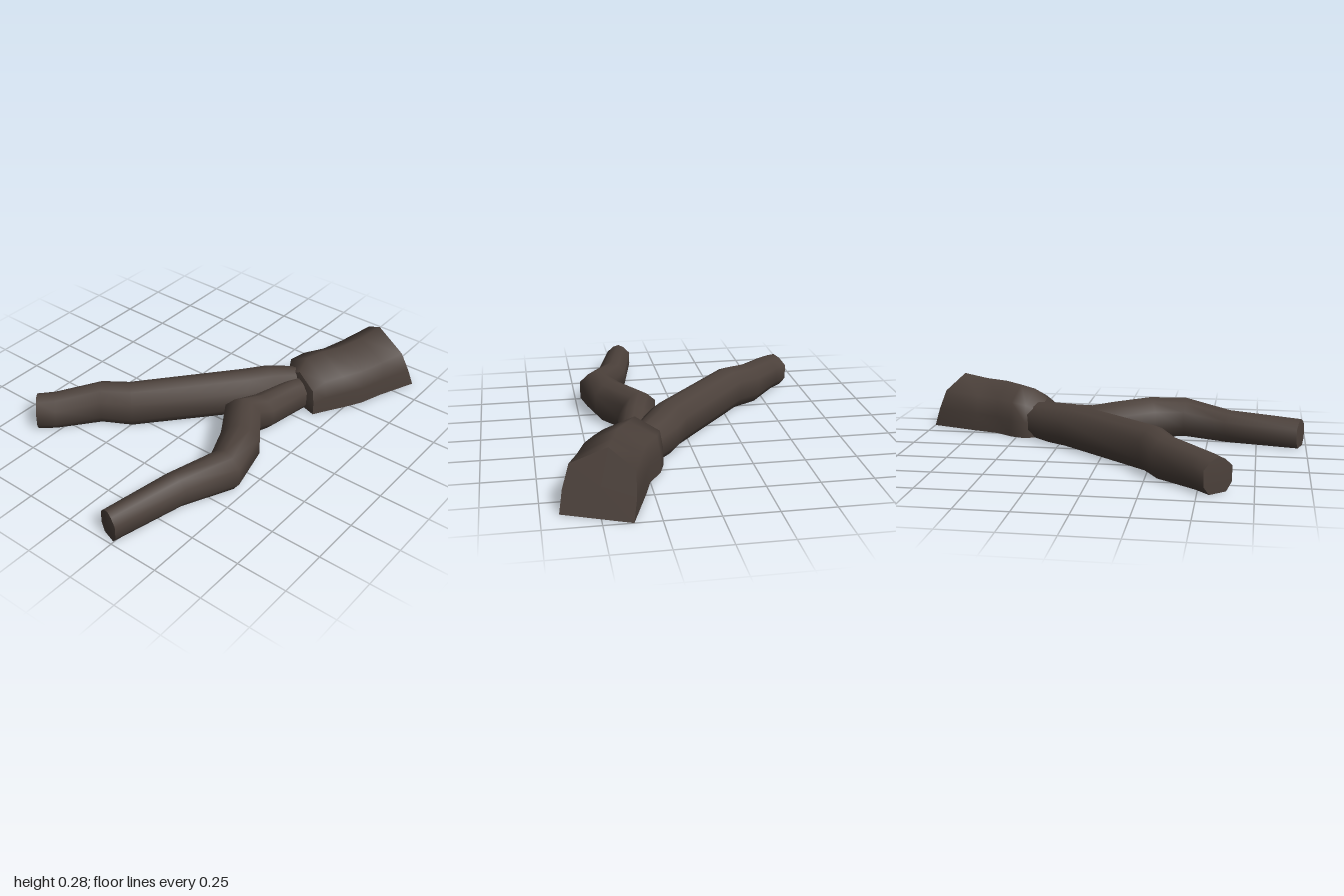
import * as THREE from 'three';
import { mergeGeometries, toCreasedNormals } from 'three/addons/utils/BufferGeometryUtils.js';

// Cross-sections as [across, up] fractions, from the bottom of one side over the top to the other
const ROUND = [[0.2, 0], [0, 0.25], [0, 0.7], [0.25, 0.91], [0.5, 1], [0.75, 0.91], [1, 0.7], [1, 0.25], [0.8, 0]];
const STUMP = [[0, 0], [0, 0.35], [0.05, 0.72], [0.45, 1], [0.95, 0.72], [1, 0.35], [1, 0]];

// Lofts sections [x0, z0, x1, z1, height, leanX, leanZ], listed from back to front
function loft(sections, profile, bulge) {
  const n = profile.length;
  const rings = sections.map(([x0, z0, x1, z1, h, lx = 0, lz = 0]) =>
    profile.map(([t, u]) => new THREE.Vector3(x0 + (x1 - x0) * t + lx * u, h * u, z0 + (z1 - z0) * t + lz * u)));

  // Bark skin
  const skin = new THREE.BufferGeometry().setFromPoints(rings.flat());
  const index = [];
  for (let i = 0; i < rings.length - 1; i++) {
    for (let j = 0; j < n; j++) {
      const a = i * n + j, b = i * n + (j + 1) % n;
      index.push(a, a + n, b, b, a + n, b + n);
    }
  }
  skin.setIndex(index);

  // End faces, the front one slightly domed
  const cap = (ring, front) => {
    const centre = ring.reduce((s, p) => s.add(p), new THREE.Vector3()).divideScalar(n);
    if (front) centre.z += bulge;
    const points = [];
    ring.forEach((p, j) => {
      const q = ring[(j + 1) % n];
      points.push(centre, ...(front ? [q, p] : [p, q]));
    });
    return new THREE.BufferGeometry().setFromPoints(points);
  };
  const parts = [skin, cap(rings[0], false), cap(rings[rings.length - 1], true)];
  return mergeGeometries(parts.map((g) => toCreasedNormals(g.index ? g.toNonIndexed() : g, 1.4)));
}

export function createModel() {
  const group = new THREE.Group();
  const bark = new THREE.MeshStandardMaterial({ color: 0x4c413b });
  bark.name = 'darkBark';

  const add = (name, sections, profile, bulge) => {
    const mesh = new THREE.Mesh(loft(sections, profile, bulge), bark);
    mesh.name = name;
    group.add(mesh);
  };

  // Thick root base with a slanted back cut
  add('rootBase', [
    [0.37, -1.0, 0.67, -0.87, 0.28, -0.05, 0.095],
    [0.285, -0.74, 0.59, -0.68, 0.262],
    [0.25, -0.62, 0.55, -0.56, 0.258],
    [0.19, -0.53, 0.5, -0.47, 0.252],
    [0.165, -0.45, 0.445, -0.38, 0.24],
    [0.2, -0.385, 0.41, -0.32, 0.19],
  ], STUMP, 0.03);

  // Long straight root
  add('longRoot', [
    [0.22, -0.5, 0.36, -0.42, 0.17],
    [0.17, -0.43, 0.31, -0.33, 0.18],
    [0.08, -0.34, 0.24, -0.22, 0.2],
    [0.02, -0.24, 0.17, -0.1, 0.21],
    [-0.35, 0.21, -0.22, 0.34, 0.21],
    [-0.465, 0.28, -0.36, 0.415, 0.2],
    [-0.61, 0.47, -0.5, 0.59, 0.172],
    [-0.675, 0.53, -0.57, 0.65, 0.165],
  ], ROUND, 0.01);

  // Crooked thinner root
  add('crookedRoot', [
    [0.25, -0.42, 0.38, -0.4, 0.15],
    [0.22, -0.3, 0.36, -0.29, 0.165],
    [0.17, -0.12, 0.33, -0.09, 0.17],
    [0.13, 0.04, 0.3, -0.02, 0.2],
    [0.25, 0.23, 0.42, 0.15, 0.205],
    [0.305, 0.37, 0.48, 0.385, 0.195],
    [0.22, 0.59, 0.36, 0.63, 0.16],
    [0.15, 0.95, 0.27, 0.99, 0.145],
  ], ROUND, 0.01);

  return group;
}
